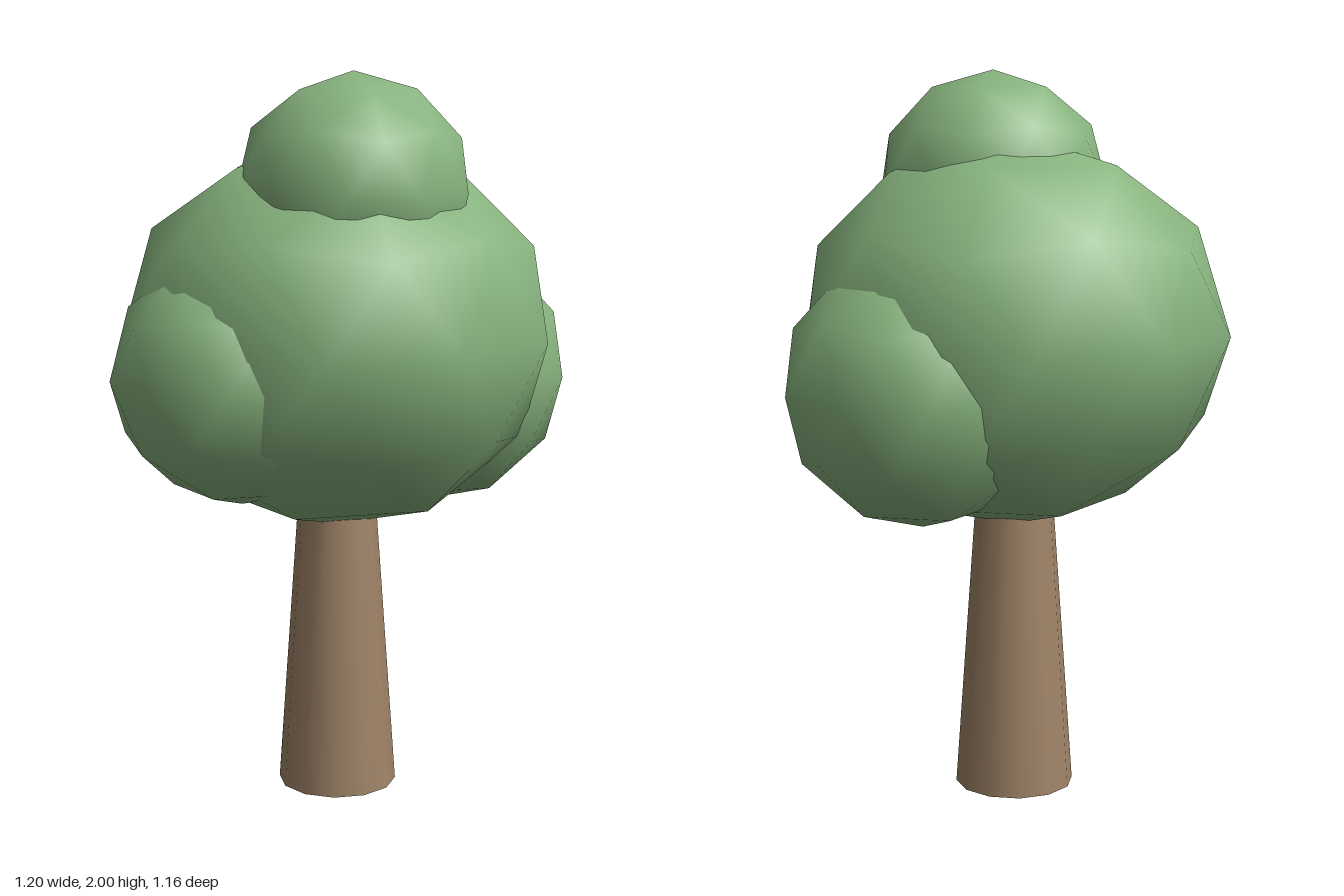
import * as THREE from 'three';

export function createModel() {
  const tree = new THREE.Group();
  tree.name = 'tree';

  const leafGreen = new THREE.MeshStandardMaterial({ color: 0x88b47f });
  leafGreen.name = 'leafGreen';
  const barkBrown = new THREE.MeshStandardMaterial({ color: 0xa08468 });
  barkBrown.name = 'barkBrown';

  // Tapered trunk, running up into the crown
  const height = 1.0;
  const trunk = new THREE.Mesh(new THREE.CylinderGeometry(0.096, 0.166, height, 12), barkBrown);
  trunk.name = 'trunk';
  trunk.position.set(-0.025, height / 2, 0);
  tree.add(trunk);

  // Smooth-shaded icosphere with a vertex at each pole and an upper-ring vertex towards +x
  const ball = new THREE.IcosahedronGeometry(1, 1);
  ball.rotateX(-Math.atan((1 + Math.sqrt(5)) / 2));
  ball.rotateY(Math.PI / 2);

  // Leaf clumps: name, centre, radii
  const clumps = [
    ['mainCrown', [-0.024, 1.29, 0], [0.598, 0.54, 0.582]],
    ['topClump', [0.025, 1.685, 0.1], [0.32, 0.315, 0.32]],
    ['frontRightClump', [-0.27, 1.2, 0.198], [0.352, 0.35, 0.352]],
    ['backLeftClump', [0.24, 1.16, -0.18], [0.378, 0.375, 0.376]],
  ];
  for (const [name, centre, radii] of clumps) {
    const clump = new THREE.Mesh(ball, leafGreen);
    clump.name = name;
    clump.position.set(...centre);
    clump.scale.set(...radii);
    tree.add(clump);
  }

  return tree;
}
